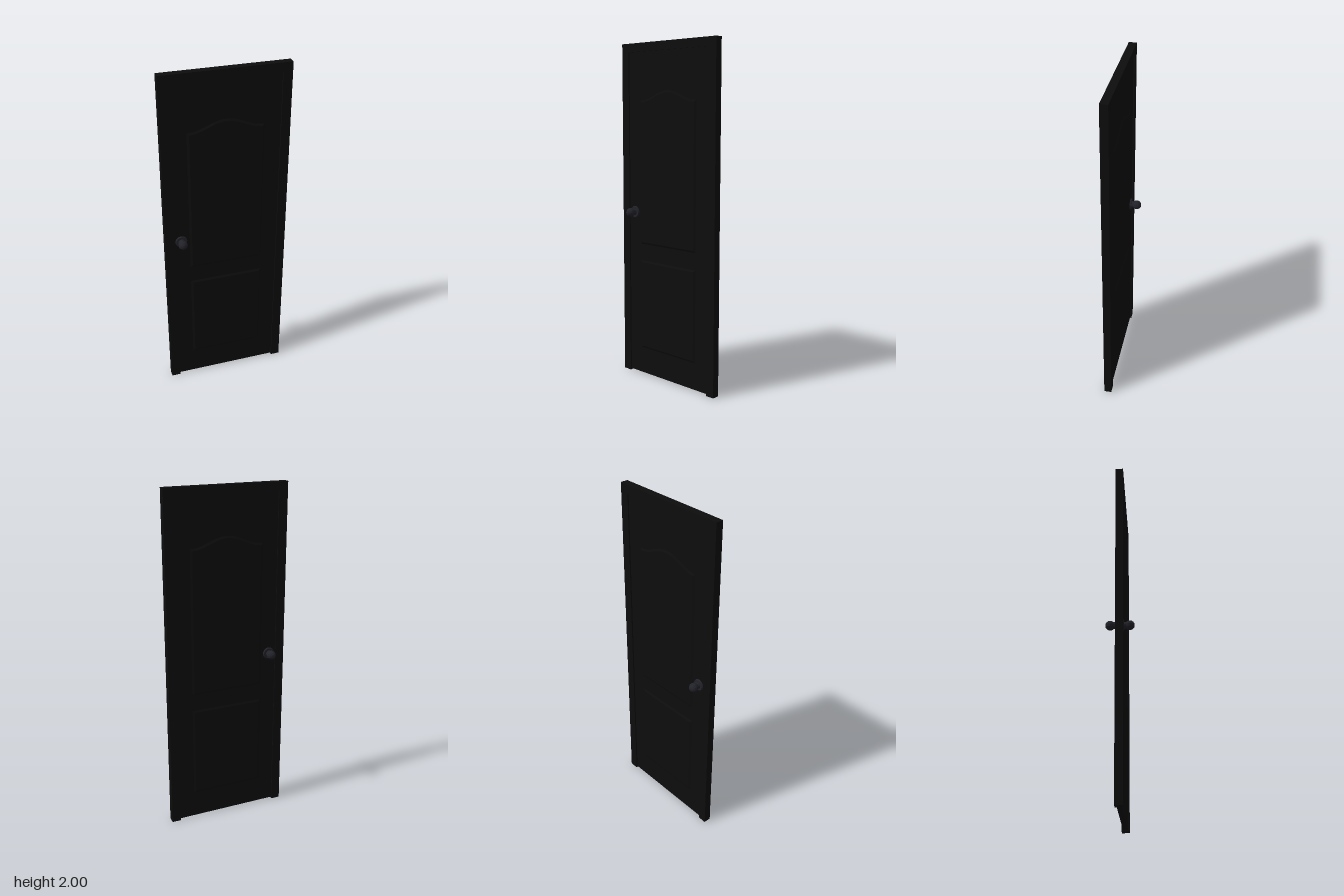
import * as THREE from 'three';

const doorBlack = new THREE.MeshStandardMaterial({ name: 'door black', color: 0x0d0d0d });
const knobMetal = new THREE.MeshStandardMaterial({ name: 'dark knob metal', color: 0x22222a, flatShading: true });

const HALF_W = 0.363, HEIGHT = 2, FRAME_Z = 0.022, SLAB_Z = 0.014;
const INNER_W = 0.31, INNER_TOP = 1.95, PANEL_W = 0.218;

function addMesh(parent, name, geometry, material, x = 0, y = 0, z = 0) {
  const mesh = new THREE.Mesh(geometry, material);
  mesh.name = name;
  mesh.position.set(x, y, z);
  parent.add(mesh);
  return mesh;
}

// Door casing: two jambs and a head in one outline
function frameGeometry() {
  const shape = new THREE.Shape([
    [-HALF_W, 0], [-INNER_W, 0], [-INNER_W, INNER_TOP], [INNER_W, INNER_TOP],
    [INNER_W, 0], [HALF_W, 0], [HALF_W, HEIGHT], [-HALF_W, HEIGHT],
  ].map(([x, y]) => new THREE.Vector2(x, y)));
  return new THREE.ExtrudeGeometry(shape, { depth: FRAME_Z * 2, bevelEnabled: false })
    .translate(0, 0, -FRAME_Z);
}

// Raised panel with sloping edges; arch lifts the middle of its top
function panelGeometry(bottom, top, arch) {
  const bevel = 0.012, w = PANEL_W - bevel;
  const points = [new THREE.Vector2(-w, bottom + bevel), new THREE.Vector2(w, bottom + bevel)];
  const steps = arch ? 24 : 1;
  for (let i = 0; i <= steps; i++) {
    const x = w - (2 * w * i) / steps;
    const lift = arch * (0.5 + 0.5 * Math.cos((Math.PI * x) / w));
    points.push(new THREE.Vector2(x, top - bevel + lift));
  }
  return new THREE.ExtrudeGeometry(new THREE.Shape(points), {
    depth: 0.002, bevelSize: bevel, bevelThickness: 0.006, bevelSegments: 1,
  });
}

// Rosette, stem and round knob pointing along +z
function addKnob(side) {
  const knob = new THREE.Group();
  knob.name = 'doorKnob';
  const rosette = new THREE.CylinderGeometry(0.032, 0.036, 0.009, 16).rotateX(Math.PI / 2);
  const stem = new THREE.CylinderGeometry(0.019, 0.019, 0.03, 12).rotateX(Math.PI / 2);
  const ball = new THREE.SphereGeometry(0.027, 12, 8).rotateX(Math.PI / 2);
  addMesh(knob, 'rosette', rosette, knobMetal, 0, 0, 0.0175);
  addMesh(knob, 'stem', stem, knobMetal, 0, 0, 0.028);
  addMesh(knob, 'knobBall', ball, knobMetal, 0, 0, 0.054);
  knob.position.set(-0.268, 1.005, 0);
  // the back knob turns about its own axis, staying at the same x
  if (side < 0) knob.rotation.y = Math.PI;
  return knob;
}

export function createModel() {
  const model = new THREE.Group();
  model.name = 'panelledDoor';

  addMesh(model, 'doorFrame', frameGeometry(), doorBlack);
  const slabBottom = 0.008;
  addMesh(model, 'doorSlab',
    new THREE.BoxGeometry(INNER_W * 2, INNER_TOP - slabBottom, SLAB_Z * 2),
    doorBlack, 0, (INNER_TOP + slabBottom) / 2);

  // Both faces carry the same panels and knob
  for (const side of [1, -1]) {
    const face = new THREE.Group();
    face.name = side > 0 ? 'frontPanels' : 'backPanels';
    addMesh(face, 'upperPanel', panelGeometry(0.815, 1.67, 0.055), doorBlack, 0, 0, SLAB_Z - 0.002);
    addMesh(face, 'lowerPanel', panelGeometry(0.168, 0.715, 0), doorBlack, 0, 0, SLAB_Z - 0.002);
    if (side < 0) face.rotation.y = Math.PI;
    model.add(face, addKnob(side));
  }
  return model;
}
